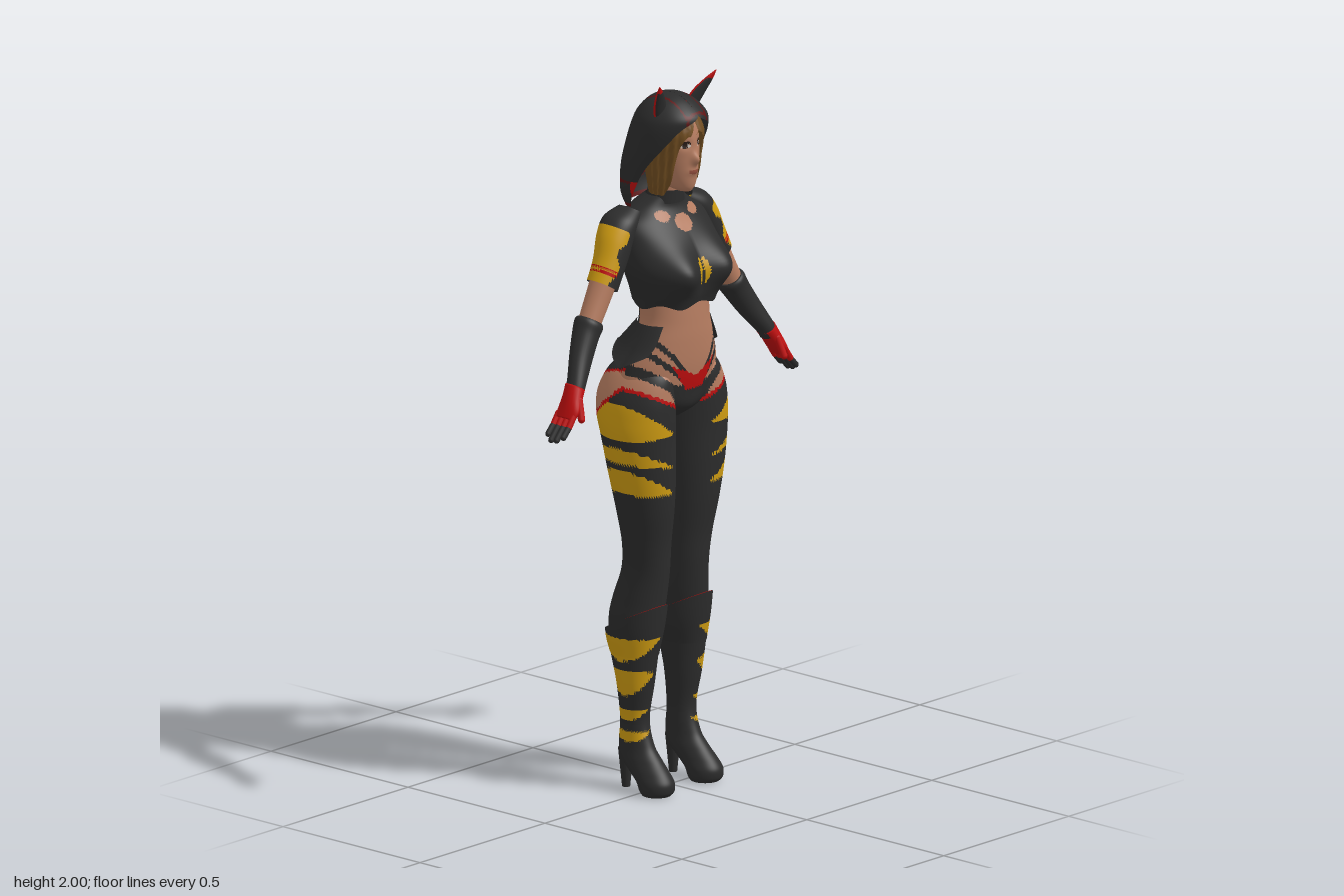
import * as THREE from 'three';

const colours = {
  charcoal: 0x2c2c2c, gold: 0xcf9c12, red: 0xbe0e0e, darkRed: 0x5c1414, skin: 0xb57c60,
  hair: 0x6f4c20, lips: 0x96503f, eyeWhite: 0xc8c0b8, iris: 0x2a1c18,
};
const mats = {};
for (const [name, color] of Object.entries(colours)) {
  mats[name] = new THREE.MeshStandardMaterial({ color, side: THREE.DoubleSide });
  mats[name].name = name;
}

const catmull = (a, b, c, d, s) =>
  0.5 * (2 * b + (c - a) * s + (2 * a - 5 * b + 4 * c - d) * s * s + (3 * b - a - 3 * c + d) * s * s * s);
const bump = (x, y, cx, cy, sx, sy) => Math.exp(-(((x - cx) / sx) ** 2) - ((y - cy) / sy) ** 2);
const inOval = (x, y, cx, cy, rx, ry) => ((x - cx) / rx) ** 2 + ((y - cy) / ry) ** 2 < 1;

// Smooth skin over rings [x, y, halfWidth, zFront, zBack, frontOpening], listed from low to high.
// The angle t is 0 in front and PI/2 at the outer side; paint(point, t) names a colour.
function loft(name, rings, paint, o = {}) {
  const { seg = 40, sub = 5, side = 1, tilt = 0, cap = true, arc = [0, Math.PI * 2], warp } = o;
  const rows = [], n = rings.length;
  const get = (i, k) => rings[Math.min(n - 1, Math.max(0, i))][k] ?? 0;
  for (let i = 0; i < n - 1; i++)
    for (let s = 0; s < sub + (i === n - 2 ? 1 : 0); s++)
      rows.push([0, 1, 2, 3, 4, 5].map(k => catmull(get(i - 1, k), get(i, k), get(i + 1, k), get(i + 2, k), s / sub)));
  const shut = r => [r[0], r[1], 0, (r[3] + r[4]) / 2, (r[3] + r[4]) / 2, 0];
  if (cap) { rows.unshift(shut(rows[0])); rows.push(shut(rows[rows.length - 1])); }
  const closed = arc[1] - arc[0] > 6.28 && !rings.some(r => r[5]);
  const cols = closed ? seg : seg + 1, pts = [], angles = [];
  rows.forEach(([x, y, w, zf, zb, open], j) => {
    for (let i = 0; i < cols; i++) {
      const gap = Math.max(0, open);
      const t = arc[0] + gap + (i / seg) * (arc[1] - arc[0] - 2 * gap), s = Math.max(0, w) * Math.sin(t);
      const p = new THREE.Vector3(x + s * Math.cos(tilt), y + s * Math.sin(tilt),
        (zf + zb) / 2 + ((zf - zb) / 2) * Math.cos(t));
      if (warp) warp(p, t, j / (rows.length - 1));
      pts.push(p); angles.push(t);
    }
  });
  const buckets = {};
  for (let j = 0; j < rows.length - 1; j++)
    for (let i = 0; i < seg; i++) {
      const a = j * cols + i, b = j * cols + (i + 1) % cols, c = b + cols, d = a + cols;
      const t = angles[a] + (arc[1] - arc[0]) / seg / 2;
      // Diagonals mirror about the middle so both halves match
      for (const [u, v, w] of i < seg / 2 ? [[a, b, c], [a, c, d]] : [[a, b, d], [b, c, d]]) {
        const mid = pts[u].clone().add(pts[v]).add(pts[w]).divideScalar(3);
        const key = typeof paint === 'string' ? paint : paint(mid, t);
        (buckets[key] ??= []).push(...(side > 0 ? [u, v, w] : [u, w, v]));
      }
    }
  const geo = new THREE.BufferGeometry();
  geo.setAttribute('position', new THREE.Float32BufferAttribute(pts.flatMap(p => [p.x * side, p.y, p.z]), 3));
  const keys = Object.keys(buckets), index = [];
  keys.forEach((key, m) => {
    geo.addGroup(index.length, buckets[key].length, m);
    for (const v of buckets[key]) index.push(v);
  });
  geo.setIndex(index);
  geo.computeVertexNormals();
  const mesh = new THREE.Mesh(geo, keys.map(k => mats[k]));
  mesh.name = name;
  return mesh;
}

// Rounded rod between two points
function rod(name, a, b, r, colour) {
  const p = new THREE.Vector3(...a), q = new THREE.Vector3(...b), d = q.clone().sub(p);
  const mesh = new THREE.Mesh(new THREE.CapsuleGeometry(r, d.length(), 4, 10), mats[colour]);
  mesh.position.copy(p).add(q).multiplyScalar(0.5);
  mesh.quaternion.setFromUnitVectors(new THREE.Vector3(0, 1, 0), d.normalize());
  mesh.name = name;
  return mesh;
}

// Tapering gold stripes on the outside of the stockings and boots
const stripes = [[1.058, .05, -.03], [.963, .022, -.03], [.888, .036, -.03],
  [.405, .034, .025], [.31, .038, .02], [.215, .016, .015], [.155, .015, .01]];
function stocking(p, t) {
  const out = Math.sin(t);
  return stripes.some(([y, h, lean]) => Math.abs(p.y - y - lean * (1 - out)) < h * (out + .3) / 1.3) ? 'gold' : 'charcoal';
}

// Briefs, straps and bare skin around the hips and waist
const straps = [[1.125, .7, .017], [1.172, .9, .011], [1.2, 1.2, .01]];
function hips(p) {
  const x = Math.abs(p.x), y = p.y;
  if (p.z > -.02) {
    if (y > 1.135 && y < 1.172 + x * .45 && x < .032 + (y - 1.135) * .7) return 'red';
    if (y < 1.15 && x < .04 + (y - 1.06) * .6) return 'charcoal';
    return x > .04 && y < 1.31 && straps.some(([h, k, w]) => Math.abs(y - h - k * (x - .05)) < w) ? 'charcoal' : 'skin';
  }
  if (y > 1.22) return x < .035 + Math.abs(y - 1.24) * .25 || y > 1.4 ? 'skin' : 'charcoal';
  const edge = x - .03 - (y - 1.06) * .9;
  return edge < 0 ? 'charcoal' : edge < .01 ? 'red' : 'skin';
}
// Stocking top rises outward in front and drops below the seat behind
function legPaint(p, t) {
  const top = Math.min(1.08 + .5 * (p.x - .05), 1.14 + .9 * (p.z + .02));
  const over = p.y - Math.max(1.02, top);
  return over < 0 ? stocking(p, t) : over < .011 ? 'red' : hips(p);
}

function cropPaint(p) {
  const x = Math.abs(p.x), y = p.y;
  if (p.z > 0) {
    if (inOval(x, y, 0, 1.47, .021, .038)) return x < .004 ? 'charcoal' : 'gold';
    if (inOval(x, y, .058, 1.616, .022, .014) || inOval(x, y, 0, 1.593, .03, .022)) return 'skin';
  } else {
    if (inOval(x, y, 0, 1.53, .022, .03)) return 'gold';
    if (y > 1.612 && y < 1.626 && x < .06) return 'skin';
  }
  return 'charcoal';
}

function facePaint(p) {
  const x = Math.abs(p.x), y = p.y;
  if (p.z < .03) return 'skin';
  if (inOval(x, y, .027, 1.818, .014, .0065)) return Math.abs(x - .026) < .007 ? 'iris' : 'eyeWhite';
  if (inOval(x, y, .028, 1.825, .017, .005)) return 'iris';
  if (inOval(x, y, .028, 1.845, .017, .003)) return 'hair';
  return inOval(x, y, 0, 1.743, .018, .007) ? 'lips' : 'skin';
}

// Charcoal with a dark red outlined brow panel and red lower trim
function hoodPaint(p) {
  const x = Math.abs(p.x);
  if (p.y > 1.85 && p.z > -.05 && (Math.abs(x - .037) < .003 || (x < .037 && Math.abs(p.z - .098) < .003))) return 'darkRed';
  if (p.y < 1.71 && x > .095 && p.z > -.04) return 'red';
  return Math.abs(p.y - 1.682 - .25 * x) < .004 || p.y < 1.645 ? 'darkRed' : 'charcoal';
}

export function createModel() {
  const g = new THREE.Group();
  g.name = 'hoodedFigure';

  // Torso and neck
  g.add(loft('torso', [
    [0, 1.045, .025, .03, -.08], [0, 1.08, .1, .075, -.125], [0, 1.13, .162, .088, -.135], [0, 1.2, .155, .098, -.118],
    [0, 1.27, .128, .1, -.085], [0, 1.33, .11, .097, -.066], [0, 1.4, .116, .092, -.07], [0, 1.48, .135, .09, -.095],
    [0, 1.56, .14, .06, -.108], [0, 1.61, .115, .03, -.105], [0, 1.645, .06, .02, -.08], [0, 1.67, .042, .022, -.06],
    [0, 1.72, .04, .03, -.05]], hips, {
    seg: 110, sub: 8, warp: p => { if (p.z < -.04) p.z -= .024 * bump(Math.abs(p.x), p.y, .08, 1.11, .06, .06); } }));

  // Cropped top with bust, and choker
  g.add(loft('cropTop', [
    [0, 1.375, .125, .108, -.085], [0, 1.42, .138, .112, -.09], [0, 1.48, .155, .11, -.105], [0, 1.55, .155, .08, -.118],
    [0, 1.6, .145, .045, -.118], [0, 1.635, .095, .026, -.102], [0, 1.665, .052, .026, -.07]], cropPaint, {
    seg: 160, sub: 8, cap: false, warp: (p, t) => {
      if (Math.cos(t) > 0) p.z += .06 * Math.cos(t) ** .4 * bump(Math.abs(p.x), p.y, .088, 1.47, .066, .068);
      if (p.y < 1.4) p.y += .007 * Math.cos(6 * t) * (1.4 - p.y) / .025;
    } }));
  g.add(loft('choker', [[0, 1.645, .054, .034, -.072], [0, 1.682, .046, .036, -.064]], 'charcoal', { cap: false }));

  // Head and hair
  g.add(loft('head', [
    [0, 1.685, .018, .075, .02], [0, 1.7, .035, .083, -.02], [0, 1.73, .049, .088, -.05], [0, 1.78, .059, .091, -.07],
    [0, 1.83, .062, .091, -.08], [0, 1.88, .055, .078, -.07], [0, 1.915, .03, .05, -.04]], facePaint, {
    seg: 96, sub: 10, warp: p => {
      if (p.z < .04) return;
      p.z += .017 * bump(p.x, p.y, 0, 1.778, .011, .017) + .005 * bump(p.x, p.y, 0, 1.743, .018, .01);
      p.z -= .006 * bump(Math.abs(p.x), p.y, .027, 1.82, .016, .012);
    } }));
  g.add(loft('hair', [
    [0, 1.675, .066, .055, -.05, 1.0], [0, 1.72, .073, .075, -.06, .82], [0, 1.78, .075, .09, -.075, .72],
    [0, 1.83, .076, .099, -.08, .58], [0, 1.862, .073, .097, -.078, .12], [0, 1.91, .055, .07, -.06, .01]], 'hair', {
    cap: false, seg: 60, warp: (p, t) => { p.z += .003 * Math.cos(t * 22); p.x *= 1 + .03 * Math.cos(t * 22); } }));

  // Hood
  g.add(loft('hood', [
    [0, 1.635, .095, -.005, -.115, 1.5], [0, 1.68, .114, .02, -.128, 1.3], [0, 1.75, .116, .05, -.13, 1.1],
    [0, 1.82, .108, .09, -.119, .85], [0, 1.87, .1, .107, -.104, .55], [0, 1.9, .088, .104, -.09, .02],
    [0, 1.93, .062, .07, -.062, .01], [0, 1.947, .03, .035, -.03, .01], [0, 1.951, .002, .004, 0, .01]],
    hoodPaint, { seg: 110, sub: 6, cap: false }));

  for (const side of [1, -1]) {
    const part = (name, rings, paint, o = {}) => g.add(loft(name, rings, paint, { side, ...o }));
    const bar = (name, [ax, ...a], [bx, ...b], r, colour) => g.add(rod(name, [ax * side, ...a], [bx * side, ...b], r, colour));

    // Ear horn, red behind
    part('ear', [[.058, 1.9, .024, .032, .006], [.078, 1.94, .022, .045, .022], [.1, 1.977, .012, .06, .046],
      [.113, 2, .001, .067, .065]], (p, t) => Math.cos(t) < .15 || p.y > 1.978 ? 'red' : 'charcoal', { seg: 24, tilt: -.4 });

    // Leg and high-heeled boot
    part('leg', [
      [.097, 0, .04, .08, .0], [.097, .012, .047, .09, -.008], [.097, .035, .048, .091, -.02], [.096, .06, .045, .075, -.05],
      [.094, .09, .042, .048, -.082], [.093, .13, .037, .018, -.092], [.093, .2, .037, 0, -.085], [.095, .3, .05, .015, -.092],
      [.095, .4, .061, .029, -.114], [.09, .48, .066, .038, -.121], [.083, .54, .065, .045, -.112], [.078, .62, .06, .053, -.087],
      [.082, .7, .064, .06, -.08], [.09, .8, .076, .075, -.092], [.098, .9, .088, .083, -.108], [.104, 1, .095, .086, -.127],
      [.104, 1.06, .095, .088, -.145], [.1, 1.12, .088, .086, -.148], [.088, 1.18, .07, .075, -.125], [.08, 1.22, .04, .03, -.08]],
      legPaint, { seg: 80, sub: 9 });
    const peak = (p, t, v) => { p.y += .045 * Math.cos(t) * v; };
    part('bootCuff', [[.095, .385, .06, .03, -.114], [.092, .44, .074, .042, -.125], [.09, .485, .079, .05, -.13]],
      stocking, { seg: 60, sub: 10, cap: false, warp: peak });
    part('cuffLining', [[.092, .445, .072, .039, -.123], [.09, .485, .076, .047, -.127]],
      'red', { seg: 24, cap: false, arc: [-1.5, 1.5], warp: peak });
    const heel = new THREE.Mesh(new THREE.CylinderGeometry(.022, .011, .11, 16), mats.charcoal);
    heel.name = 'heel';
    heel.position.set(.094 * side, .055, -.074);
    g.add(heel);

    // Flared hip panel
    part('hipPanel', [[0, 1.205, .178, .085, -.122], [0, 1.25, .148, .1, -.108], [0, 1.32, .114, .096, -.07]], 'charcoal', {
      seg: 30, cap: false, arc: [.95, 2.6], warp: (p, t, v) => { p.y += (1 - v) * .05 * Math.abs(t - 1.6); } });

    // Arm, sleeve, gauntlet
    part('arm', [[.3, 1.325, .03, -.005, -.065], [.255, 1.4, .034, -.004, -.072], [.205, 1.49, .036, 0, -.078], [.15, 1.58, .035, 0, -.08]],
      'skin', { tilt: .55, seg: 28 });
    part('sleeve', [[.228, 1.445, .045, .005, -.083], [.2, 1.5, .046, .006, -.086], [.17, 1.56, .05, .006, -.1],
      [.14, 1.603, .045, .002, -.105], [.1, 1.63, .03, -.015, -.09]], (p, t) => {
      const k = p.y - Math.sin(t) * .023, ragged = .3 + .22 * Math.sin(k * 75);
      if (Math.sin(t) < ragged || p.x < .165) return 'charcoal';
      return Math.abs(Math.abs(k - 1.478) - .006) < .0025 ? 'red' : k < 1.585 && k > 1.43 ? 'gold' : 'charcoal';
    }, { tilt: .55, seg: 48, sub: 8, cap: false });
    part('gauntlet', [[.39, 1.185, .024, .033, -.024], [.375, 1.21, .026, .028, -.027], [.335, 1.27, .034, .012, -.052],
      [.3, 1.325, .038, .004, -.072], [.284, 1.35, .041, .004, -.078], [.278, 1.36, .036, -.002, -.072]],
      'charcoal', { tilt: .55, seg: 32 });

    // Hand and fingers
    part('hand', [[.43, 1.125, .012, .042, -.026], [.415, 1.147, .018, .046, -.026], [.398, 1.175, .023, .038, -.024],
      [.381, 1.203, .0265, .031, -.0275]], 'red', { tilt: .55, seg: 24 });
    [.012, 0, .002, .012].forEach((short, k) => {
      const z = -.02 + k * .0185;
      bar('fingerBase', [.424, 1.135, z], [.443, 1.108, z], .0088, 'red');
      bar('fingerTip', [.443, 1.108, z], [.473 - short * .7, 1.073 + short, z], .0085, 'charcoal');
    });
    bar('thumb', [.396, 1.175, .03], [.405, 1.125, .047], .01, 'red');
  }
  return g;
}
